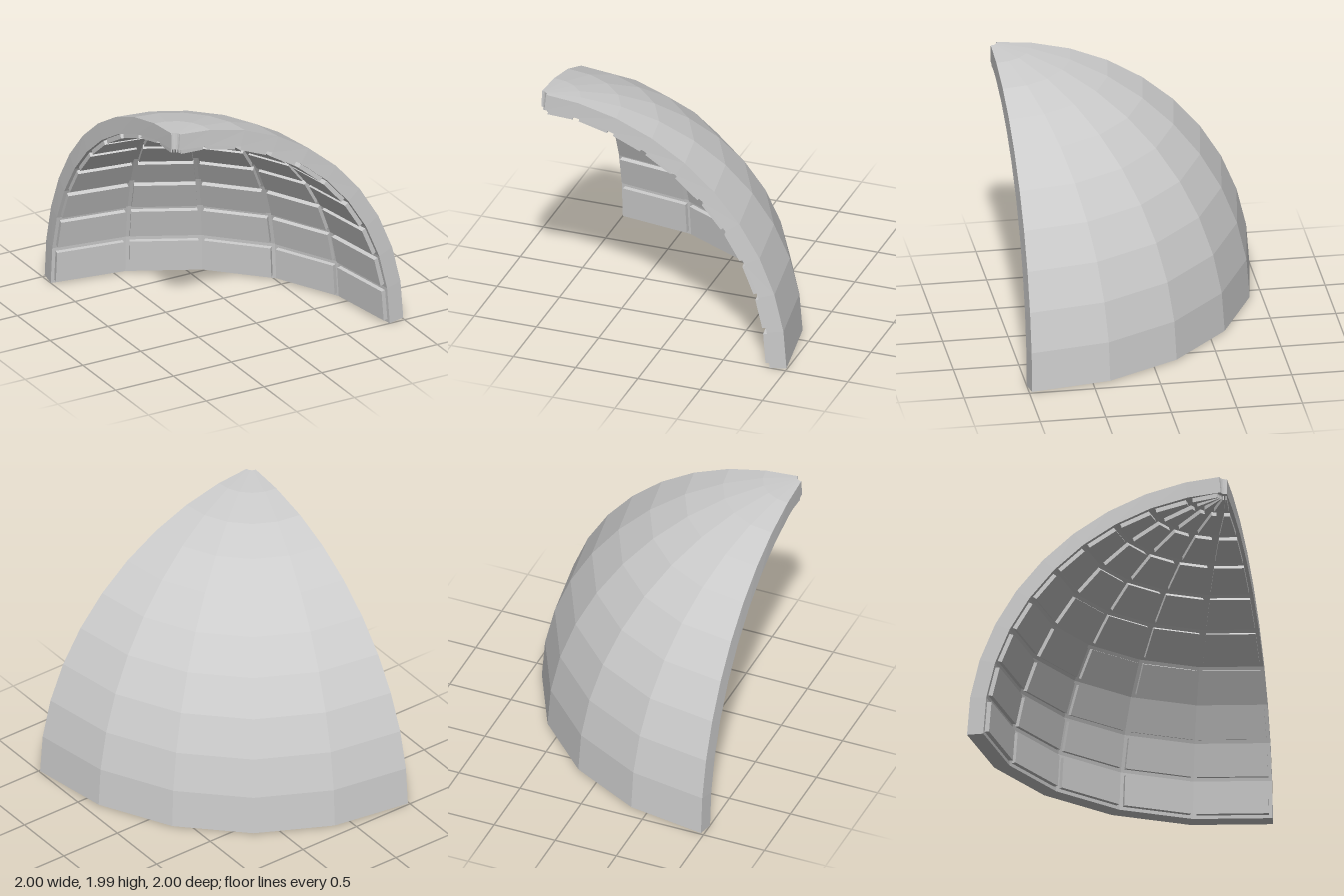
import * as THREE from 'three';

const COLS = 5, ROWS = 10;
const RADIUS = 1.98, THICK = 0.13, OCULUS = 0.05;
const MARGIN = 0.027, RAISE = 0.035;
const CENTER = new THREE.Vector3(-0.98, 0.018, 0.98);
const rad = THREE.MathUtils.degToRad;

// azimuth 0 points to +x and 90 to -z; elevation 90 points up
function direction(az, el) {
  const a = rad(az), e = rad(el);
  return new THREE.Vector3(Math.cos(e) * Math.cos(a), Math.sin(e), -Math.cos(e) * Math.sin(a));
}
const topElevation = THREE.MathUtils.radToDeg(Math.acos(OCULUS / RADIUS));
const azimuth = (i) => i * 18;
const elevation = (j) => (j === ROWS ? topElevation : j * 9);

function outer(i, j) {
  return direction(azimuth(i), elevation(j)).multiplyScalar(RADIUS).add(CENTER);
}

// inner skin: offset along the vertex normal, which tilts at the open borders
function inner(i, j) {
  const az = i === 0 ? 9 : i === COLS ? 81 : azimuth(i);
  const el = j === 0 ? 4.5 : j === ROWS ? (81 + topElevation) / 2 : elevation(j);
  return outer(i, j).addScaledVector(direction(az, el), -THICK);
}

function quadMesh(name, quads, material) {
  const points = quads.flatMap(([a, b, c, d]) => [a, b, c, a, c, d]);
  const geometry = new THREE.BufferGeometry().setFromPoints(points);
  geometry.computeVertexNormals();
  const mesh = new THREE.Mesh(geometry, material);
  mesh.name = name;
  return mesh;
}

// raised block on one cell of the inner skin
function panelQuads(i, j) {
  const [p00, p10, p11, p01] = [inner(i, j), inner(i + 1, j), inner(i + 1, j + 1), inner(i, j + 1)];
  const inset = (length) => Math.min(0.3, MARGIN / length);
  const uLow = inset(p00.distanceTo(p10)), uHigh = inset(p01.distanceTo(p11));
  const v = inset(p00.distanceTo(p01));
  const at = (u, w) => p00.clone().lerp(p10, u).lerp(p01.clone().lerp(p11, u), w);
  const base = [at(uLow, v), at(1 - uLow, v), at(1 - uHigh, 1 - v), at(uHigh, 1 - v)];
  const normal = p01.clone().sub(p10).cross(p11.clone().sub(p00)).normalize();
  if (normal.dot(CENTER.clone().sub(p00)) < 0) normal.negate();
  const face = base.map((p) => p.clone().addScaledVector(normal, RAISE));
  const quads = [[face[3], face[2], face[1], face[0]]];
  for (let k = 0; k < 4; k++) {
    const n = (k + 1) % 4;
    quads.push([face[k], face[n], base[n], base[k]]);
  }
  return quads;
}

export function createModel() {
  const group = new THREE.Group();
  group.name = 'domeSection';
  const material = new THREE.MeshStandardMaterial({ color: 0xcccccc, flatShading: true });

  const outside = [], inside = [], rim = [];
  for (let i = 0; i < COLS; i++) {
    for (let j = 0; j < ROWS; j++) {
      outside.push([outer(i, j), outer(i + 1, j), outer(i + 1, j + 1), outer(i, j + 1)]);
      inside.push([inner(i, j + 1), inner(i + 1, j + 1), inner(i + 1, j), inner(i, j)]);
    }
    // base edge and opening at the crown
    rim.push([outer(i + 1, 0), outer(i, 0), inner(i, 0), inner(i + 1, 0)]);
    rim.push([outer(i, ROWS), outer(i + 1, ROWS), inner(i + 1, ROWS), inner(i, ROWS)]);
  }
  // two upright cut edges
  for (let j = 0; j < ROWS; j++) {
    rim.push([outer(0, j), outer(0, j + 1), inner(0, j + 1), inner(0, j)]);
    rim.push([outer(COLS, j + 1), outer(COLS, j), inner(COLS, j), inner(COLS, j + 1)]);
  }
  group.add(
    quadMesh('outerShell', outside, material),
    quadMesh('innerShell', inside, material),
    quadMesh('shellEdges', rim, material),
  );

  // ceiling panels
  const panels = new THREE.Group();
  panels.name = 'ceilingPanels';
  for (let j = 0; j < ROWS; j++) {
    for (let i = 0; i < COLS; i++) panels.add(quadMesh('ceilingPanel', panelQuads(i, j), material));
  }
  group.add(panels);
  return group;
}
